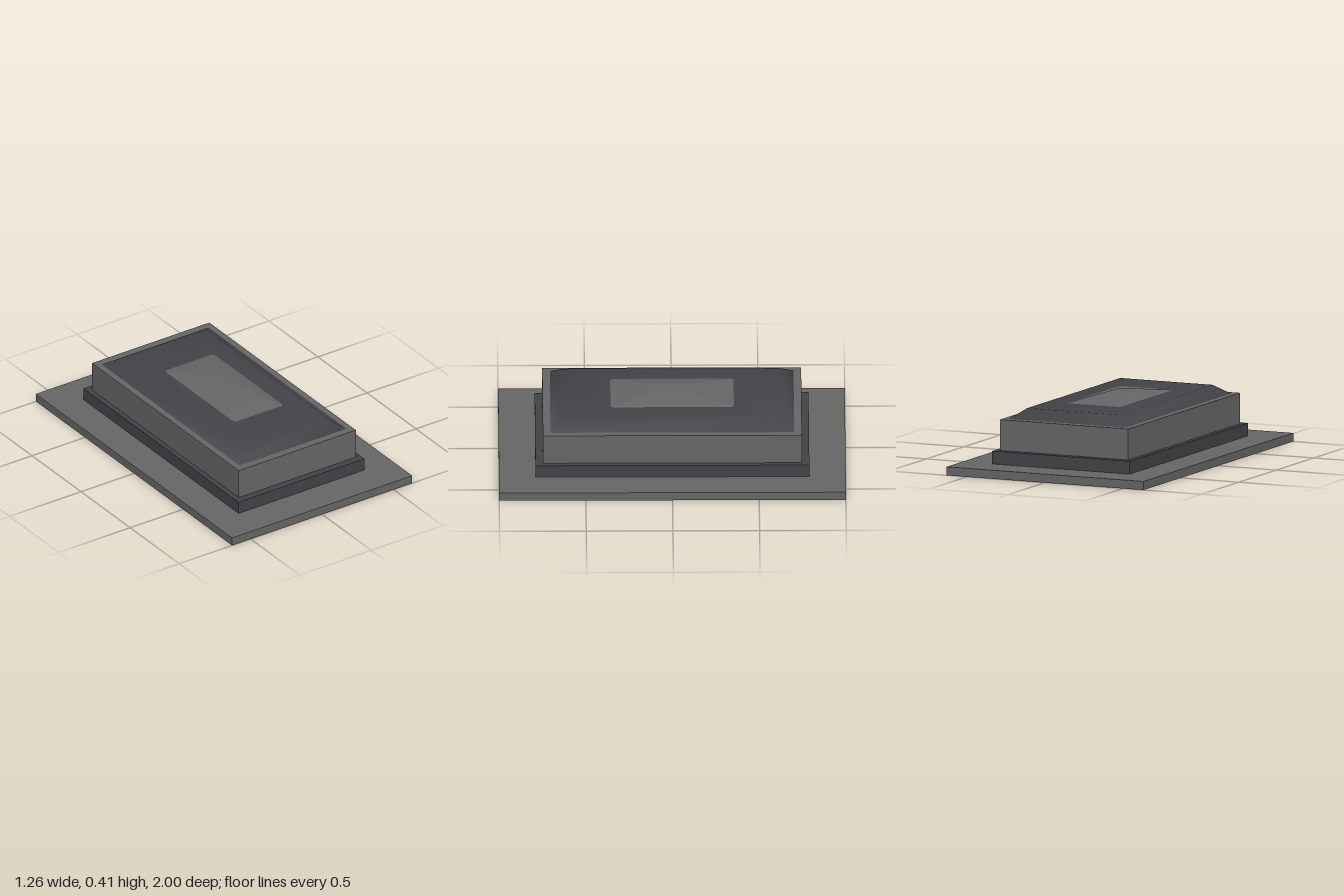
import * as THREE from 'three';
import { mergeVertices } from 'three/addons/utils/BufferGeometryUtils.js';

const STEPS = 4; // points per corner

// Rectangular loop with half sizes w, d at height y and corner radius r
function loop([w, d, y, r = 0]) {
  const points = [];
  [[1, 1], [-1, 1], [-1, -1], [1, -1]].forEach(([sx, sz], q) => {
    for (let i = 0; i < STEPS; i++) {
      const a = (q + i / (STEPS - 1)) * Math.PI / 2;
      const ox = r ? r * Math.cos(a) : 0;
      const oz = r ? r * Math.sin(a) : 0;
      points.push(new THREE.Vector3(sx * (w - r) + ox, y, sz * (d - r) + oz));
    }
  });
  return points;
}

// Open shell joining the loops in order, from the outside to the middle
function shell(rings, smooth = false) {
  const loops = rings.map(loop);
  const pos = [];
  const triangle = new THREE.Triangle();
  const add = (a, b, c) => {
    if (triangle.set(a, b, c).getArea() < 1e-9) return;
    for (const p of [a, b, c]) pos.push(p.x, p.y, p.z);
  };
  for (let k = 0; k < loops.length - 1; k++) {
    const lo = loops[k], hi = loops[k + 1];
    for (let j = 0; j < lo.length; j++) {
      const n = (j + 1) % lo.length;
      add(lo[j], hi[j], lo[n]);
      add(hi[j], hi[n], lo[n]);
    }
  }
  let geometry = new THREE.BufferGeometry();
  geometry.setAttribute('position', new THREE.Float32BufferAttribute(pos, 3));
  if (smooth) geometry = mergeVertices(geometry);
  geometry.computeVertexNormals();
  return geometry;
}

export function createModel() {
  const group = new THREE.Group();
  const grey = new THREE.MeshStandardMaterial({ color: 0x666666, side: THREE.DoubleSide });
  grey.name = 'mid grey';
  const slate = new THREE.MeshStandardMaterial({ color: 0x434348, side: THREE.DoubleSide });
  slate.name = 'dark slate';

  const part = (name, material, rings, smooth) => {
    const mesh = new THREE.Mesh(shell(rings, smooth), material);
    mesh.name = name;
    group.add(mesh);
  };

  // Wide base with a thin skirt, open underneath
  part('base', grey, [[0.63, 1, 0], [0.63, 1, 0.05], [0.44, 0.79, 0.05]]);
  // Dark step around the foot of the walls
  part('plinth', slate, [[0.44, 0.79, 0.05], [0.44, 0.79, 0.125], [0.41, 0.747, 0.125]]);
  // Upright walls with a narrow rim on top
  part('walls', grey, [[0.41, 0.747, 0.125], [0.41, 0.747, 0.305], [0.373, 0.703, 0.305]]);
  // Sloping roof edge and flat roof around the skylight
  part('roof', slate, [[0.373, 0.703, 0.305], [0.295, 0.62, 0.362], [0.172, 0.356, 0.362, 0.02]], true);
  // Low pointed skylight with rounded corners
  part('skylight', grey, [[0.172, 0.356, 0.362, 0.02], [0, 0, 0.412]], true);

  return group;
}
